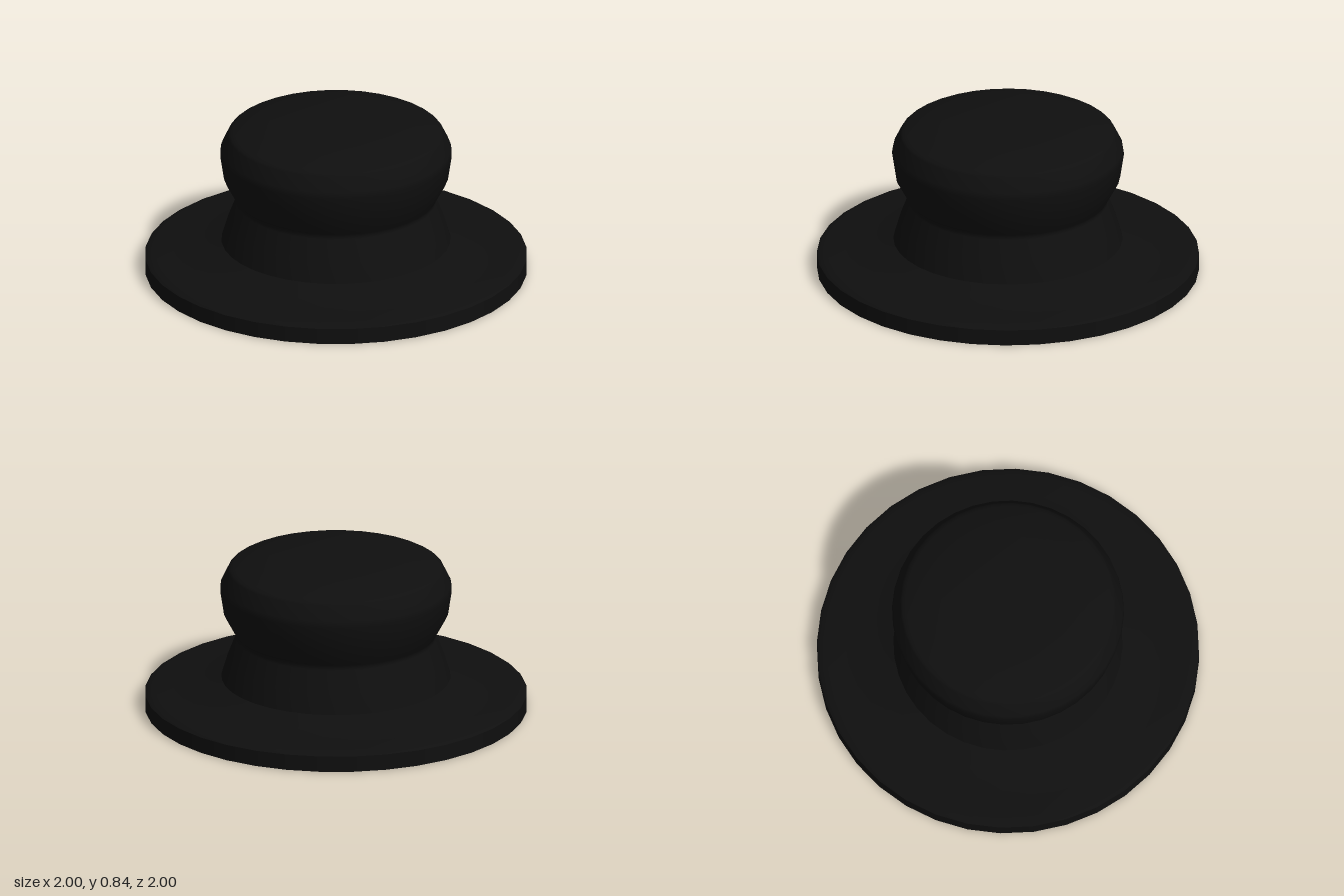
import * as THREE from 'three';

const SIDES = 36;

export function createModel() {
  const group = new THREE.Group();
  group.name = 'knob';
  const material = new THREE.MeshStandardMaterial({ color: 0x0f0f0f });

  // Each part is turned from a profile of [radius, height], listed from bottom to top
  const turn = (name, profile) => {
    const points = profile.map(([r, y]) => new THREE.Vector2(r, y));
    const mesh = new THREE.Mesh(new THREE.LatheGeometry(points, SIDES), material);
    mesh.name = name;
    group.add(mesh);
  };

  // Flat underside and straight rim of the base
  turn('underside', [[0, 0], [1, 0]]);
  turn('baseRim', [[1, 0], [1, 0.085]]);

  // Flange sweeping up to the foot of the neck
  turn('flange', [
    [1, 0.085], [0.985, 0.095], [0.95, 0.105], [0.85, 0.111],
    [0.715, 0.13], [0.6, 0.17],
  ]);

  // Waisted neck, swelling into the rounded grip and its flat top
  turn('grip', [
    [0.6, 0.17], [0.567, 0.28], [0.525, 0.39], [0.522, 0.405], [0.529, 0.42],
    [0.588, 0.53], [0.607, 0.655], [0.602, 0.69], [0.565, 0.765],
    [0.555, 0.775], [0.535, 0.786], [0.35, 0.842], [0, 0.842],
  ]);

  return group;
}
